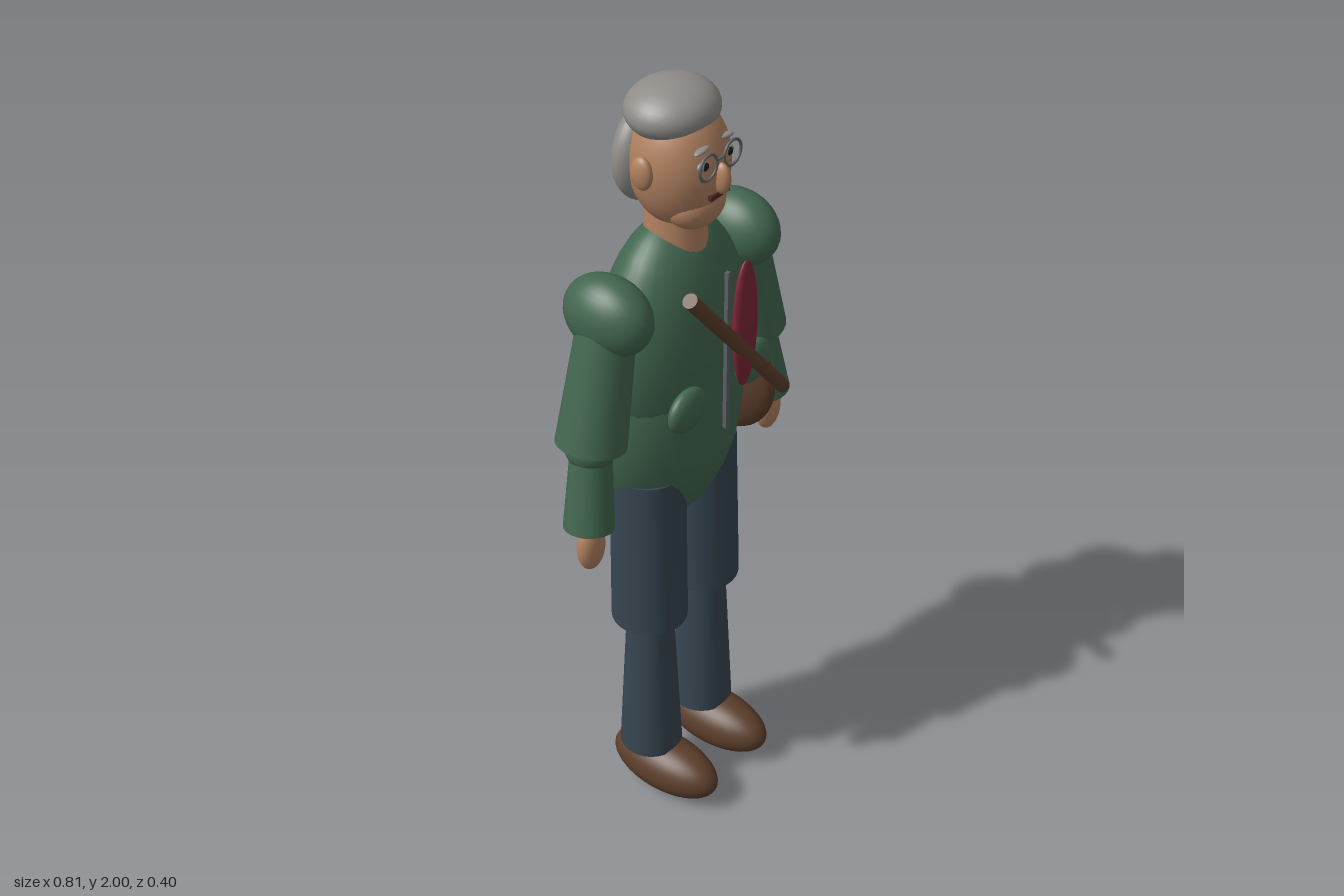
import * as THREE from 'three';

const mat = (name, color) => {
  const m = new THREE.MeshStandardMaterial({ color });
  m.name = name;
  return m;
};

export function createModel() {
  const root = new THREE.Group();
  root.name = 'elderlyMan';

  const green = mat('jacketGreen', 0x42664f);
  const denim = mat('trouserBlue', 0x374550);
  const skin = mat('skin', 0xb08060);
  const grey = mat('hairGrey', 0x8f8c88);
  const brown = mat('leatherBrown', 0x5c3e2b);
  const red = mat('scarfRed', 0x7c2636);
  const metal = mat('metalGrey', 0x5c6064);
  const dark = mat('eyeDark', 0x1f1c1b);
  const lip = mat('mouthBrown', 0x4e2a22);

  const add = (name, geo, material, pos = [0, 0, 0]) => {
    const mesh = new THREE.Mesh(geo, material);
    mesh.name = name;
    mesh.position.set(...pos);
    root.add(mesh);
    return mesh;
  };
  const ball = new THREE.SphereGeometry(1, 32, 20);
  const blob = (name, material, pos, radii) => {
    const mesh = add(name, ball, material, pos);
    mesh.scale.set(...radii);
    return mesh;
  };
  // Tapered tube from point a (radius ra) to point b (radius rb)
  const limb = (name, material, a, b, ra, rb) => {
    const A = new THREE.Vector3(...a), B = new THREE.Vector3(...b);
    const dir = A.clone().sub(B);
    const mesh = add(name, new THREE.CylinderGeometry(ra, rb, dir.length(), 28), material,
      A.clone().add(B).multiplyScalar(0.5).toArray());
    mesh.quaternion.setFromUnitVectors(new THREE.Vector3(0, 1, 0), dir.normalize());
    return mesh;
  };

  // Jacket body
  blob('chest', green, [0, 1.35, -0.02], [0.222, 0.32, 0.14]);
  blob('belly', green, [0, 1.17, -0.04], [0.22, 0.34, 0.16]);
  add('zip', new THREE.BoxGeometry(0.01, 0.425, 0.01), metal, [0, 1.362, 0.136]);

  // Head
  limb('neck', skin, [0, 1.74, -0.01], [0, 1.6, -0.01], 0.065, 0.075);
  blob('head', skin, [0, 1.815, 0], [0.115, 0.155, 0.115]);
  blob('jaw', skin, [0, 1.725, 0.045], [0.08, 0.06, 0.06]);
  blob('nose', skin, [0, 1.805, 0.115], [0.016, 0.038, 0.024]);
  blob('hairTop', grey, [0, 1.935, -0.018], [0.114, 0.065, 0.102]);
  blob('hairBack', grey, [0, 1.812, -0.085], [0.112, 0.122, 0.054]);
  add('mouth', new THREE.BoxGeometry(0.066, 0.012, 0.01), lip, [0, 1.766, 0.109]);
  limb('glassesBridge', metal, [-0.012, 1.853, 0.112], [0.012, 1.853, 0.112], 0.003, 0.003);

  for (const s of [-1, 1]) {
    // Face pairs
    blob('ear', skin, [s * 0.117, 1.825, -0.01], [0.017, 0.04, 0.028]);
    blob('eye', grey, [s * 0.043, 1.848, 0.098], [0.019, 0.012, 0.01]);
    blob('pupil', dark, [s * 0.043, 1.848, 0.104], [0.01, 0.01, 0.006]);
    blob('eyebrow', grey, [s * 0.043, 1.884, 0.094], [0.024, 0.006, 0.01]).rotation.z = -s * 0.12;
    add('glassesRim', new THREE.TorusGeometry(0.03, 0.0035, 8, 32), metal, [s * 0.043, 1.848, 0.112]);

    // Arm
    blob('shoulder', green, [s * 0.235, 1.525, -0.013], [0.077, 0.095, 0.114]);
    limb('upperArm', green, [s * 0.235, 1.53, -0.013], [s * 0.307, 1.215, -0.013], 0.066, 0.083);
    blob('elbow', green, [s * 0.312, 1.215, -0.01], [0.06, 0.06, 0.062]);
    limb('forearm', green, [s * 0.312, 1.22, -0.008], [s * 0.345, 1.01, 0.006], 0.047, 0.06);
    blob('hand', skin, [s * 0.347, 0.957, 0.012], [0.04, 0.066, 0.028]);

    // Leg
    limb('thigh', denim, [s * 0.1, 1.02, -0.016], [s * 0.106, 0.575, -0.01], 0.091, 0.095);
    blob('knee', denim, [s * 0.107, 0.595, -0.01], [0.074, 0.07, 0.074]);
    limb('shin', denim, [s * 0.107, 0.58, -0.008], [s * 0.107, 0.145, -0.008], 0.058, 0.08);
    blob('shoe', brown, [s * 0.107, 0.08, 0.04], [0.076, 0.075, 0.16]);

    // Front pocket
    blob('pocket', green, [s * 0.125, 1.262, 0.12], [0.063, 0.055, 0.026]);
  }

  // Scarf, satchel and strap
  blob('scarf', red, [0.064, 1.405, 0.139], [0.043, 0.17, 0.018]);
  limb('strap', brown, [-0.14, 1.572, 0.138], [0.215, 1.15, 0.147], 0.018, 0.017);
  blob('satchel', brown, [0.232, 1.105, -0.03], [0.057, 0.15, 0.138]);

  return root;
}
